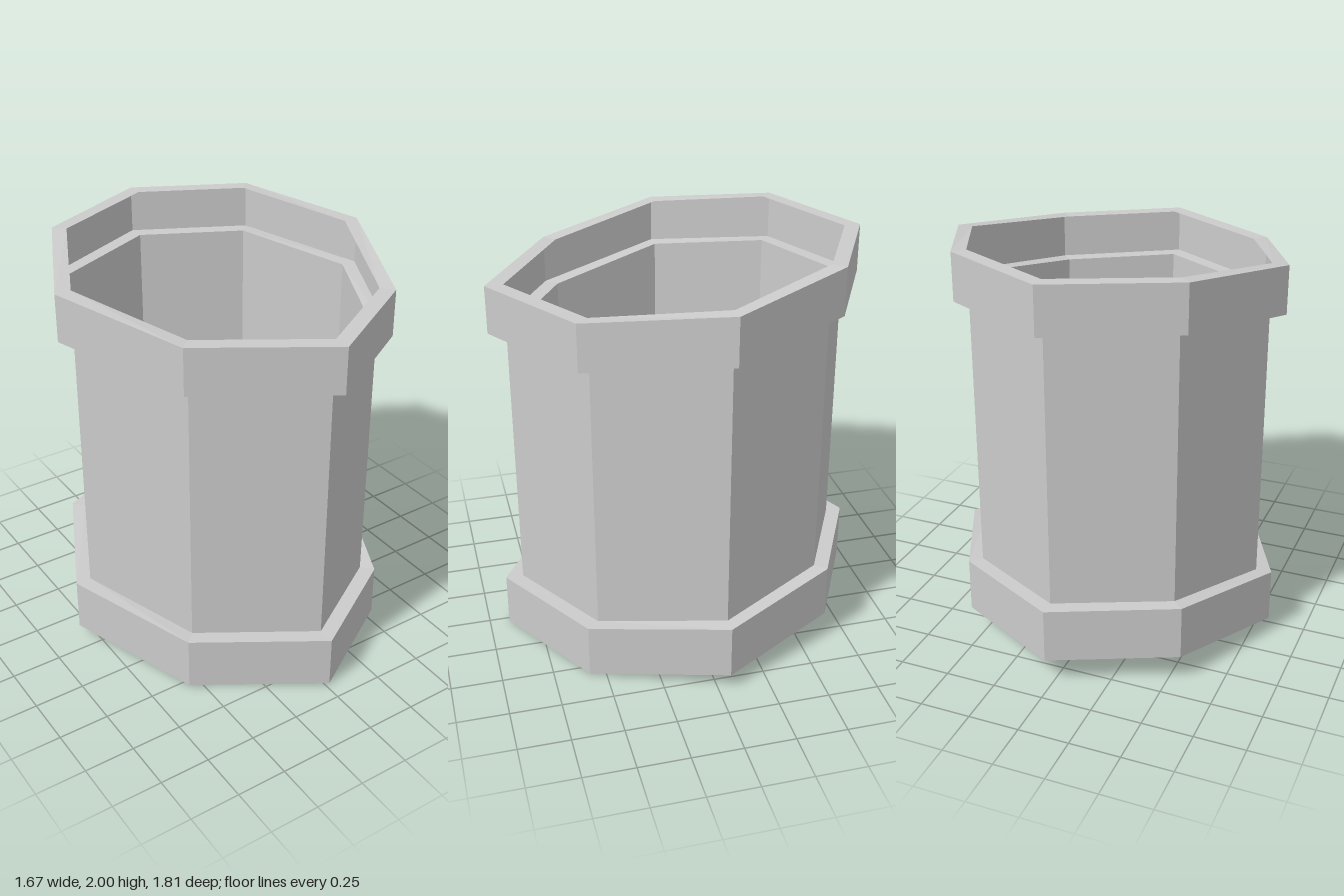
import * as THREE from 'three';

// Irregular octagon corners, clockwise from the back: [x, z]
const OUTER = [
  [0.025, -0.905], [0.555, -0.635], [0.832, -0.06], [0.555, 0.578],
  [0.025, 0.902], [-0.56, 0.537], [-0.835, -0.08], [-0.56, -0.64],
];
const INNER = [
  [0.025, -0.826], [0.505, -0.582], [0.757, -0.06], [0.505, 0.52],
  [0.025, 0.815], [-0.507, 0.485], [-0.757, -0.08], [-0.507, -0.59],
];
// The whole tube rises towards the back, corner by corner
const RISE = [0.14, 0.14, 0.077, 0, 0, 0.004, 0.079, 0.14];

const material = new THREE.MeshStandardMaterial({
  color: 0xcccccc, flatShading: true, side: THREE.DoubleSide,
});

// Skin a shell through a list of [outline, height] loops
function shell(name, loops) {
  const rings = loops.map(([outline, y]) =>
    outline.map(([x, z], i) => [x, y + RISE[i], z]));
  const positions = [];
  for (let k = 0; k + 1 < rings.length; k++) {
    const low = rings[k], high = rings[k + 1];
    for (let i = 0; i < low.length; i++) {
      const j = (i + 1) % low.length;
      positions.push(...low[i], ...high[i], ...high[j]);
      positions.push(...low[i], ...high[j], ...low[j]);
    }
  }
  const geometry = new THREE.BufferGeometry();
  geometry.setAttribute('position', new THREE.Float32BufferAttribute(positions, 3));
  geometry.computeVertexNormals();
  const mesh = new THREE.Mesh(geometry, material);
  mesh.name = name;
  return mesh;
}

export function createModel() {
  const group = new THREE.Group();
  group.name = 'octagonalPipe';

  // Bottom collar: open underneath, with a ledge on top
  group.add(shell('bottomCollar', [[OUTER, 0], [OUTER, 0.27], [INNER, 0.27]]));

  // Hollow wall between the collars
  group.add(shell('pipeWall', [[INNER, 0.27], [INNER, 1.627]]));

  // Top collar: ledge below, outer wall, rim on top
  group.add(shell('topCollar', [
    [INNER, 1.627], [OUTER, 1.627], [OUTER, 1.86], [INNER, 1.86],
  ]));

  return group;
}
